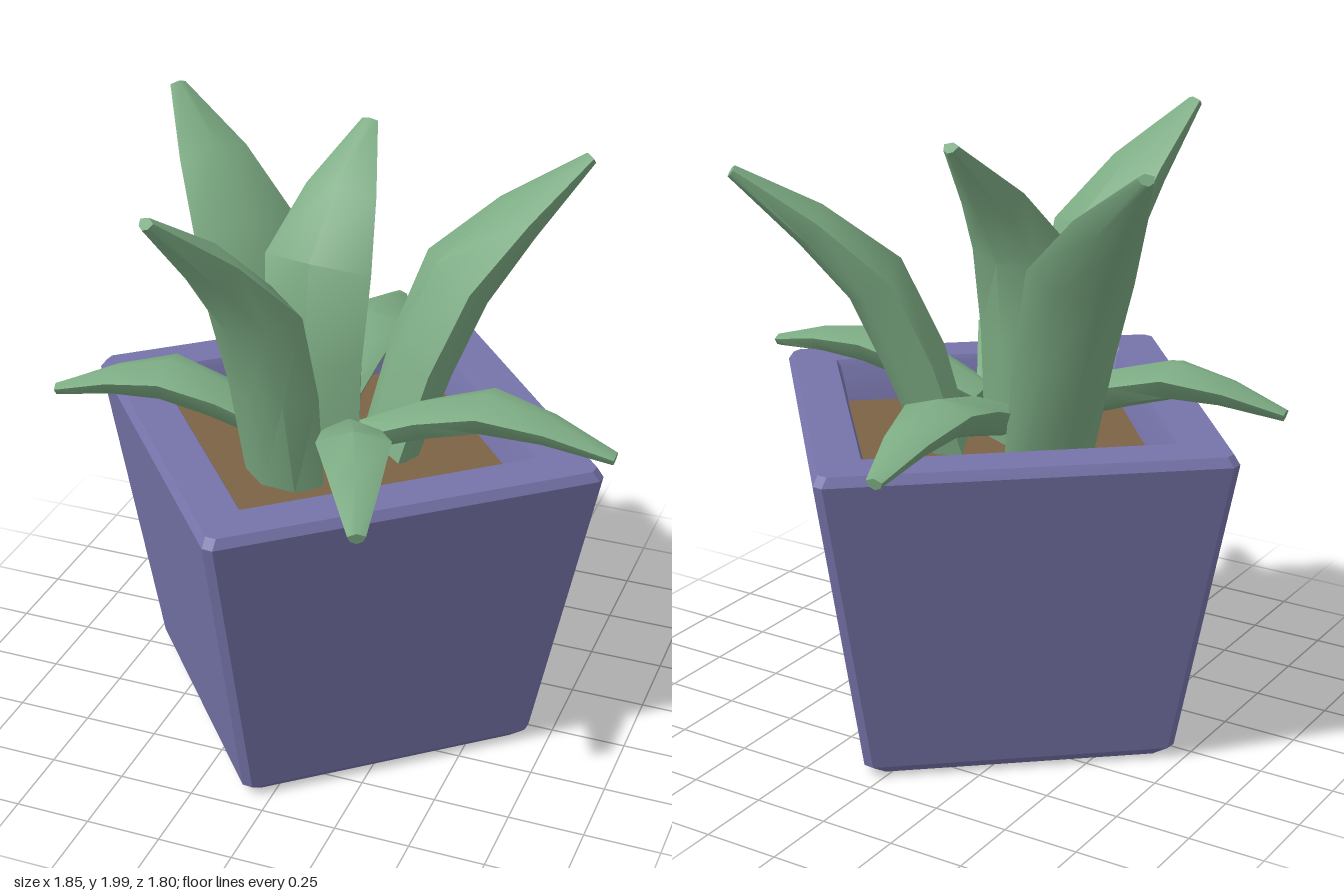
import * as THREE from 'three';
import { toCreasedNormals } from 'three/addons/utils/BufferGeometryUtils.js';

const mat = (name, color) => Object.assign(new THREE.MeshStandardMaterial({ color }), { name });
const V = (x, y, z) => new THREE.Vector3(x, y, z);

// Skin a list of rings (equal point counts, counter-clockwise about the direction of travel)
function loft(rings, crease, capStart = true, capEnd = true) {
  const n = rings[0].length, pos = [], idx = [];
  rings.forEach(r => r.forEach(p => pos.push(p.x, p.y, p.z)));
  for (let i = 0; i < rings.length - 1; i++) {
    for (let j = 0; j < n; j++) {
      const a = i * n + j, b = i * n + (j + 1) % n;
      idx.push(a, b, b + n, a, b + n, a + n);
    }
  }
  const end = (rings.length - 1) * n;
  for (let j = 1; j < n - 1; j++) {
    if (capStart) idx.push(0, j + 1, j);
    if (capEnd) idx.push(end, end + j, end + j + 1);
  }
  const g = new THREE.BufferGeometry();
  g.setAttribute('position', new THREE.Float32BufferAttribute(pos, 3));
  g.setIndex(idx);
  return toCreasedNormals(g, crease);
}

// Square ring with clipped corners: half side s, height y, clip c
function squareRing([s, y, c]) {
  const pts = [];
  for (let k = 0; k < 4; k++) {
    const a = k * Math.PI / 2, co = Math.cos(a), si = Math.sin(a);
    for (const [u, v] of [[s, s - c], [s - c, s]]) {
      pts.push(V(u * si + v * co, y, u * co - v * si));
    }
  }
  return pts;
}

// Leaf section: shallow ridge on the inner face, deep rounded back
const LEAF_SECTION = [[1, 0], [0, 0.28], [-1, 0], [-0.7, -0.5], [0, -0.72], [0.7, -0.5]];

// Leaf along a curve through base, middle and tip points; baseWidth is a share of width
function leafGeometry(points, width, thick, baseWidth) {
  const curve = new THREE.CatmullRomCurve3(points.map(p => V(...p)));
  const out = curve.getPoint(1).sub(curve.getPoint(0)).setY(0).normalize();
  const side = V(0, 1, 0).cross(out);
  const profile = [[0, baseWidth, 0.8], [0.25, (1 + baseWidth) / 2, 1], [0.5, 1, 1], [0.75, 0.66, 0.7], [1, 0.15, 0.2]];
  const rings = profile.map(([t, w, h]) => {
    const c = curve.getPoint(t), tan = curve.getTangent(t);
    const inner = tan.clone().cross(side).normalize();
    const hw = Math.max(w * width / 2, 0.028), hh = Math.max(h * thick, 0.04);
    return LEAF_SECTION.map(([u, v]) =>
      c.clone().addScaledVector(side, u * hw).addScaledVector(inner, v * hh));
  });
  return loft(rings, 0.78);
}

export function createModel() {
  const model = new THREE.Group();
  model.name = 'pottedSucculent';
  const potMat = mat('violet glaze', 0x7674aa);
  const soilMat = mat('brown soil', 0x7b6344);
  const leafMat = mat('leaf green', 0x7cab83);
  const baseMat = mat('pale grey base', 0xd4d3da);
  const add = (parent, name, geo, material) => {
    const m = new THREE.Mesh(geo, material);
    m.name = name;
    parent.add(m);
    return m;
  };

  // Tapered square planter with bevelled foot, rim and inner lip
  const planter = new THREE.Group();
  planter.name = 'planter';
  planter.rotation.y = THREE.MathUtils.degToRad(40);
  planter.position.x = -0.015;
  model.add(planter);
  const potRings = [
    [0.475, 0.004, 0.04], [0.503, 0.035, 0.025], [0.651, 1.05, 0.025], [0.634, 1.08, 0.025],
    [0.495, 1.08, 0.005], [0.485, 1.06, 0.005], [0.455, 0.9, 0.005],
  ].map(squareRing);
  add(planter, 'pot', loft(potRings, 0.4, true, false), potMat);

  // Soil
  const soil = add(planter, 'soil', new THREE.BoxGeometry(0.93, 0.04, 0.93), soilMat);
  soil.position.y = 0.92;

  // Rounded plate under the pot
  const s = 0.31, r = 0.07, plate = new THREE.Shape();
  [[1, 1, 0], [-1, 1, 1], [-1, -1, 2], [1, -1, 3]].forEach(([u, v, k]) =>
    plate.absarc(u * (s - r), v * (s - r), r, k * Math.PI / 2, (k + 1) * Math.PI / 2));
  const plateGeo = new THREE.ExtrudeGeometry(plate, { depth: 0.004, bevelEnabled: false, curveSegments: 5 });
  add(planter, 'basePlate', plateGeo.rotateX(-Math.PI / 2), baseMat);

  // Tall leaves: base, middle, tip
  const tall = [
    [[-0.12, 0.95, 0.20], [-0.16, 1.60, 0.32], [-0.34, 1.985, 0.70]],
    [[-0.21, 0.95, 0.00], [-0.39, 1.62, -0.12], [-0.735, 1.985, -0.375]],
    [[0.10, 0.95, -0.08], [0.27, 1.53, -0.22], [0.64, 1.87, -0.515]],
    [[-0.08, 0.95, 0.07], [-0.07, 1.62, 0.06], [-0.03, 1.98, -0.30]],
  ];
  tall.forEach((p, i) => add(model, `tallLeaf${i + 1}`, leafGeometry(p, 0.38, 0.21, 0.85), leafMat));

  // Low spreading leaves
  const low = [
    [[-0.07, 1.06, -0.05], [-0.08, 1.19, -0.46], [-0.125, 1.10, -0.875]],
    [[0.08, 1.07, 0.07], [0.48, 1.21, 0.02], [0.92, 1.125, 0.055]],
    [[0.04, 1.07, 0.08], [0.18, 1.21, 0.40], [0.335, 1.125, 0.785]],
    [[-0.18, 1.08, 0.14], [-0.55, 1.22, 0.18], [-0.92, 1.125, 0.25]],
  ];
  low.forEach((p, i) => add(model, `lowLeaf${i + 1}`, leafGeometry(p, 0.235, 0.13, 0.6), leafMat));

  return model;
}
